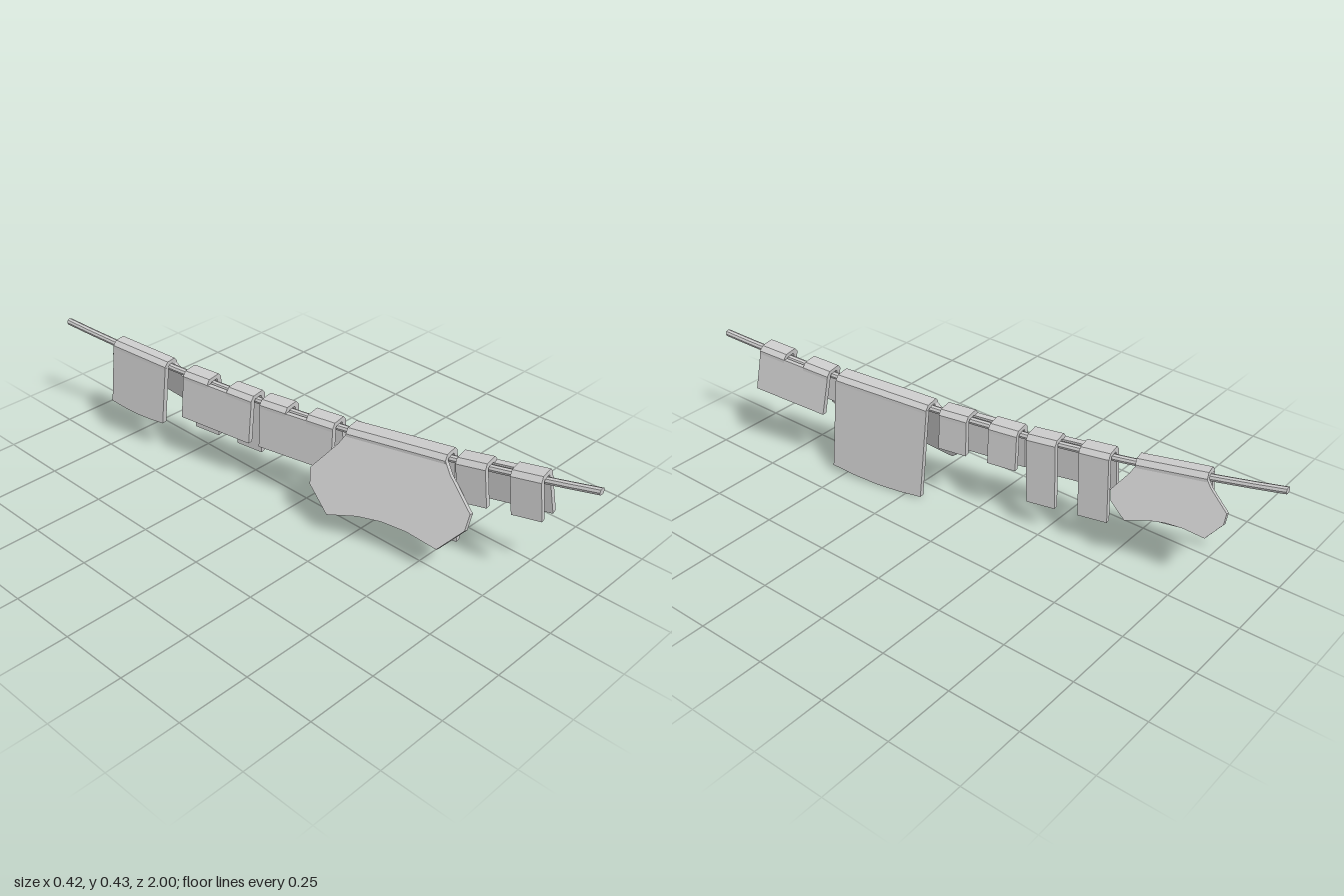
import * as THREE from 'three';

const material = new THREE.MeshStandardMaterial({ color: 0xcccccc, flatShading: true });
const THICK = 0.02;
const ropeX = z => -0.01 + 0.19 * z;
const ropeY = z => 0.33 + 0.012 * z + 0.073 * z * z;
const ropeSlope = z => 0.012 + 0.146 * z;

function addMesh(parent, name, geometry) {
  const mesh = new THREE.Mesh(geometry, material);
  mesh.name = name;
  parent.add(mesh);
  return mesh;
}

// Sagging line: a capped rod bent along a shallow parabola
function makeRope() {
  const geo = new THREE.CylinderGeometry(0.0125, 0.0125, 2, 8, 20).rotateX(Math.PI / 2);
  const p = geo.attributes.position;
  for (let i = 0; i < p.count; i++) {
    const z = p.getZ(i);
    p.setXYZ(i, p.getX(i) + ropeX(z), p.getY(i) + ropeY(z), z);
  }
  geo.computeVertexNormals();
  return geo;
}

// Group whose z axis follows the rope at the given place
function hangAt(parent, name, z) {
  const g = new THREE.Group();
  g.name = name;
  g.position.set(ropeX(z), ropeY(z), z);
  g.rotation.set(-Math.atan(ropeSlope(z)), Math.atan(0.19), 0, 'YXZ');
  parent.add(g);
  return g;
}

// Fold of cloth over the rope, with chamfered shoulders
function fold(parent, u, width, gap = 0.03) {
  const o = gap + THICK / 2, i = gap - THICK / 2;
  const shape = new THREE.Shape([
    [-o, -0.006], [-i, -0.006], [-i, 0.008], [-i + 0.006, 0.013], [i - 0.006, 0.013], [i, 0.008],
    [i, -0.006], [o, -0.006], [o, 0.012], [o - 0.014, 0.028], [-o + 0.014, 0.028], [-o, 0.012],
  ].map(([x, y]) => new THREE.Vector2(x, y)));
  const geo = new THREE.ExtrudeGeometry(shape, { depth: width, bevelEnabled: false });
  addMesh(parent, 'fold', geo.translate(0, 0, u - width / 2));
}

// Flat cloth cut from an outline (along rope, up), hanging on one side at an angle
function cloth(parent, name, outline, side, degrees, u = 0, gap = 0.03) {
  const shape = new THREE.Shape(outline.map(([a, b]) => new THREE.Vector2(a, b)));
  const geo = new THREE.ExtrudeGeometry(shape, { depth: THICK, bevelEnabled: false });
  geo.translate(0, 0, -THICK / 2).rotateY(-Math.PI / 2);
  const mesh = addMesh(parent, name, geo);
  mesh.position.set(side * gap, 0, u);
  mesh.rotation.z = side * THREE.MathUtils.degToRad(degrees);
}

const rectangle = (w, h, top = 0.005) => [[-w / 2, -h], [w / 2, -h], [w / 2, top], [-w / 2, top]];

// Wide panel on one side, two straps folded over to the other
function strappedCloth(parent, name, z, o) {
  const g = hangAt(parent, name, z);
  cloth(g, 'widePanel', rectangle(o.width, o.panel, 0.01), o.side, o.panelAngle);
  for (const s of [-1, 1]) {
    const u = s * (o.width - o.strap) / 2;
    fold(g, u, o.strap);
    cloth(g, 'strap', rectangle(o.strap, o.drop), -o.side, o.strapAngle, u);
  }
}

// Long sheet on one side, flared winged piece on the other
function wingedCloth(parent, name, z, k, side, angle, gap) {
  const g = hangAt(parent, name, z);
  const sized = pts => pts.map(([a, b]) => [a * k, b * k]);
  fold(g, 0, 0.355 * k, gap);
  const sheet = [[0.178, 0.01], [-0.178, 0.01], [-0.178, -0.328], [-0.09, -0.338],
    [0, -0.342], [0.09, -0.338], [0.178, -0.328]];
  cloth(g, 'longSheet', sized(sheet), side, 3, 0, gap);
  const half = [[0.175, 0.01], [0.2, -0.03], [0.288, -0.13], [0.28, -0.185], [0.2, -0.267], [0.09, -0.242]];
  const wings = [...half, [0, -0.235], ...half.map(([a, b]) => [-a, b]).reverse()];
  cloth(g, 'flaredPiece', sized(wings), -side, angle, 0, gap);
}

export function createModel() {
  const model = new THREE.Group();
  model.name = 'clothesline';
  addMesh(model, 'rope', makeRope());

  strappedCloth(model, 'frontCloth', 0.7,
    { width: 0.28, strap: 0.1, side: 1, panel: 0.135, panelAngle: 8, drop: 0.12, strapAngle: 0 });
  wingedCloth(model, 'largeGarment', 0.355, 1, 1, 22, 0.03);
  strappedCloth(model, 'shortStrapCloth', -0.008,
    { width: 0.285, strap: 0.102, side: -1, panel: 0.143, panelAngle: 5, drop: 0.115, strapAngle: 2 });
  strappedCloth(model, 'longStrapCloth', -0.322,
    { width: 0.285, strap: 0.102, side: -1, panel: 0.145, panelAngle: 5, drop: 0.22, strapAngle: 1 });
  wingedCloth(model, 'smallGarment', -0.658, 0.65, -1, 20, 0.023);

  return model;
}
